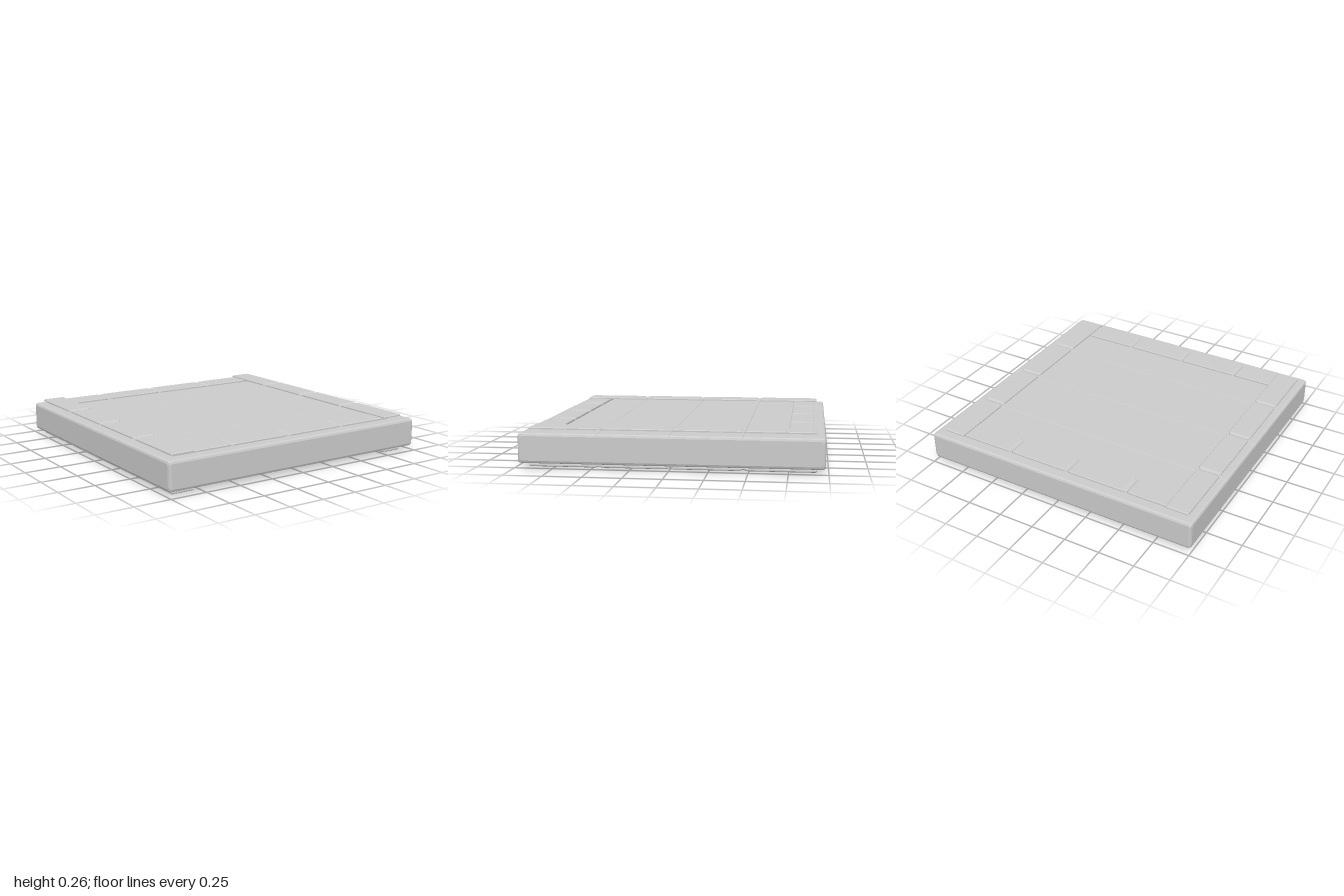
import * as THREE from 'three';

const MID = 0.128; // height of the slab's middle plane
const material = new THREE.MeshStandardMaterial({ color: 0xcccccc, flatShading: true });

// Loft closed [z, y] rings along x; stations are { x, ring }
function loft(stations) {
  const pos = [];
  const at = (s, i) => {
    const [z, y] = s.ring[i % s.ring.length];
    return [s.x, y, z];
  };
  const tri = (a, b, c) => pos.push(...a, ...b, ...c);
  const n = stations[0].ring.length;
  for (let k = 0; k < stations.length - 1; k++) {
    const s = stations[k], t = stations[k + 1];
    for (let i = 0; i < n; i++) {
      tri(at(s, i), at(s, i + 1), at(t, i + 1));
      tri(at(s, i), at(t, i + 1), at(t, i));
    }
  }
  // end caps
  const first = stations[0], last = stations[stations.length - 1];
  const centre = (s) => [s.x, s.ring.reduce((sum, p) => sum + p[1], 0) / n, 0];
  for (let i = 0; i < n; i++) {
    tri(centre(first), at(first, i + 1), at(first, i));
    tri(centre(last), at(last, i), at(last, i + 1));
  }
  const g = new THREE.BufferGeometry();
  g.setAttribute('position', new THREE.Float32BufferAttribute(pos, 3));
  g.computeVertexNormals();
  return g;
}

function part(name, geometry) {
  const mesh = new THREE.Mesh(geometry, material);
  mesh.name = name;
  return mesh;
}

// Slab section: softened corners, fine plank seams on top and bottom
function slabRing(inset) {
  const w = 0.98 - inset, h = 0.098 - inset, c = 0.018, m = c * 0.3;
  const half = [];
  for (const z of [-0.465, 0, 0.465]) {
    half.push([z - 0.003, h], [z, h - 0.003], [z + 0.003, h]);
  }
  half.push([w - c, h], [w - m, h - m], [w, h - c], [w, -h + c], [w - m, -h + m], [w - c, -h]);
  return [...half, ...half.map(([z, y]) => [-z, -y])];
}

// Thin trim strip along x with a chamfered top and V notches across it
function strip(length, width, height, notches) {
  const ring = (side, drop) => {
    const w = width / 2 - side, h = height - drop, c = 0.005;
    return [[w - c, h], [w, h - c], [w, 0], [-w, 0], [-w, h - c], [-w + c, h]];
  };
  const L = length / 2;
  const stations = [{ x: -L, ring: ring(0.006, 0.005) }, { x: -L + 0.007, ring: ring(0, 0) }];
  for (const x of notches) {
    stations.push(
      { x: x - 0.02, ring: ring(0, 0) },
      { x: x - 0.005, ring: ring(0.011, 0.006) },
      { x: x + 0.005, ring: ring(0.011, 0.006) },
      { x: x + 0.02, ring: ring(0, 0) },
    );
  }
  stations.push({ x: L - 0.007, ring: ring(0, 0) }, { x: L, ring: ring(0.006, 0.005) });
  return loft(stations);
}

// Frame of trim for one face: two cross strips under two side rails
function trimFrame(name) {
  const frame = new THREE.Group();
  frame.name = name;
  const cross = strip(1.76, 0.16, 0.014, [-0.445, 0, 0.445]);
  for (const s of [-1, 1]) {
    const m = part(s > 0 ? 'frontCrossStrip' : 'backCrossStrip', cross);
    m.position.set(-0.05, 0.231 - MID, s * 0.825);
    frame.add(m);
  }
  const rail = strip(1.85, 0.16, 0.013, [-0.465, 0, 0.465]);
  for (const s of [-1, 1]) {
    const m = part(s > 0 ? 'leftRail' : 'rightRail', rail);
    m.rotation.y = -Math.PI / 2;
    m.position.set(-0.01 + s * 0.86, 0.243 - MID, 0);
    frame.add(m);
  }
  return frame;
}

export function createModel() {
  const group = new THREE.Group();
  group.name = 'plankPanel';

  const slab = part('slab', loft([
    { x: -1, ring: slabRing(0.018) },
    { x: -0.995, ring: slabRing(0.006) },
    { x: -0.982, ring: slabRing(0) },
    { x: 0.982, ring: slabRing(0) },
    { x: 0.995, ring: slabRing(0.006) },
    { x: 1, ring: slabRing(0.018) },
  ]));
  slab.position.y = MID;
  group.add(slab);

  // trim on both faces, the lower one turned over
  const top = trimFrame('topTrim');
  const bottom = trimFrame('bottomTrim');
  bottom.rotation.x = Math.PI;
  for (const f of [top, bottom]) {
    f.position.y = MID;
    group.add(f);
  }
  return group;
}
